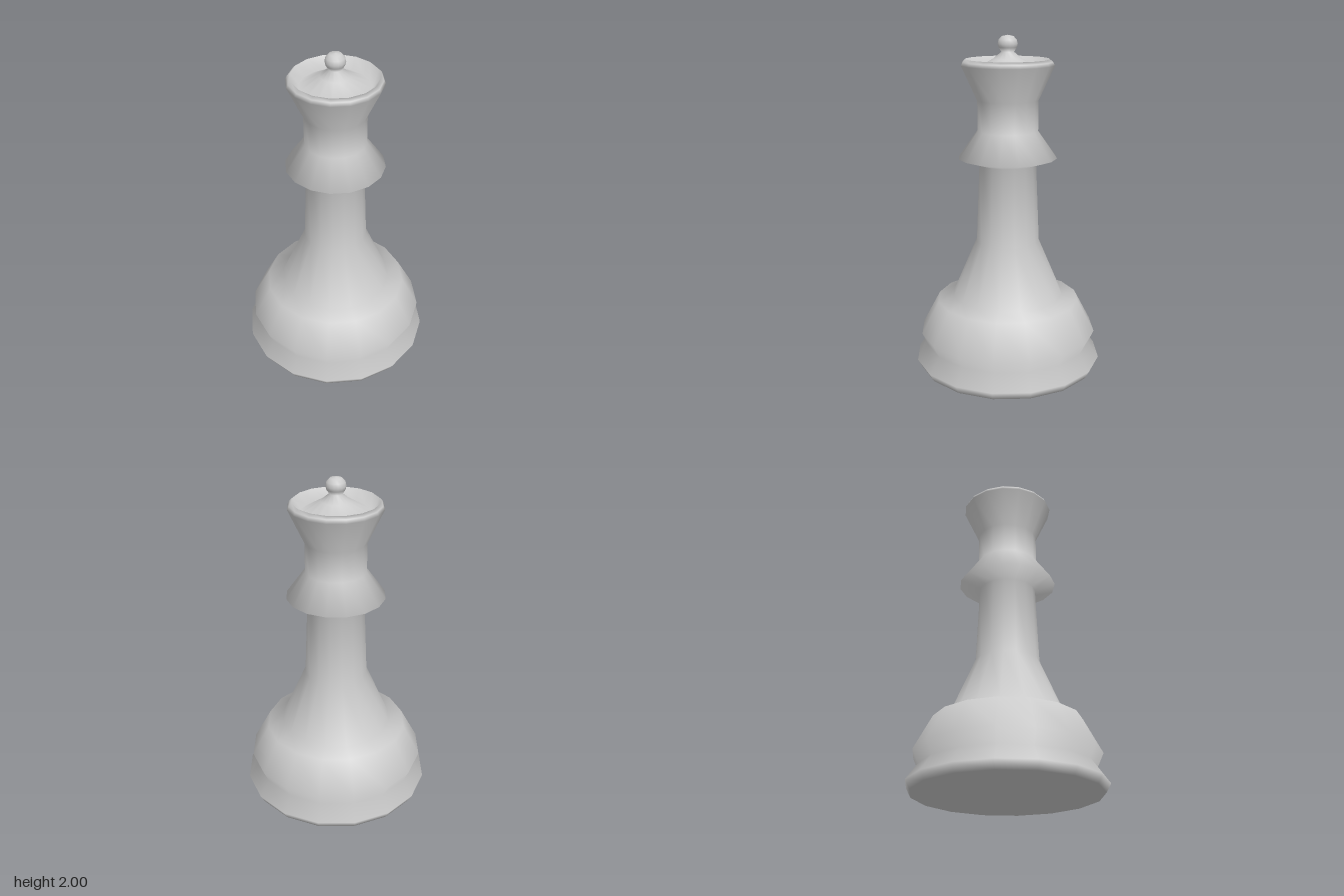
import * as THREE from 'three';

const SIDES = 16;

// Outline from the foot up, as [radius, height], one run per part.
const parts = [
  ['base', [[0, 0], [0.54, 0], [0.567, 0.05], [0.5, 0.143], [0.535, 0.22], [0.43, 0.418]]],
  ['stem', [[0.335, 0.445], [0.19, 0.785], [0.17, 1.255]]],
  ['collar', [[0.292, 1.293], [0.18, 1.45], [0.18, 1.63]]],
  ['crown', [[0.272, 1.83], [0.262, 1.85], [0.245, 1.865], [0.2, 1.8], [0.085, 1.866], [0.037, 1.905]]],
  ['finial', [[0.053, 1.93], [0.058, 1.95], [0.053, 1.973], [0.034, 1.993], [0, 2]]],
];

export function createModel() {
  const model = new THREE.Group();
  model.name = 'chessQueen';
  const material = new THREE.MeshStandardMaterial({ color: 0xcccccc });

  const outline = parts.flatMap(([, run]) => run.map(([r, y]) => new THREE.Vector2(r, y)));
  const whole = new THREE.LatheGeometry(outline, SIDES).attributes.normal;

  let start = 0;
  for (const [name, run] of parts) {
    // Each part begins on the last ring of the part below it.
    const first = Math.max(0, start - 1);
    const end = start + run.length;
    const count = end - first;
    const geometry = new THREE.LatheGeometry(outline.slice(first, end), SIDES);

    // Take normals from the whole outline so shading flows across the joints.
    const normal = geometry.attributes.normal;
    for (let i = 0; i <= SIDES; i++) {
      for (let j = 0; j < count; j++) {
        const k = i * outline.length + first + j;
        normal.setXYZ(i * count + j, whole.getX(k), whole.getY(k), whole.getZ(k));
      }
    }

    const mesh = new THREE.Mesh(geometry, material);
    mesh.name = name;
    model.add(mesh);
    start = end;
  }
  return model;
}
